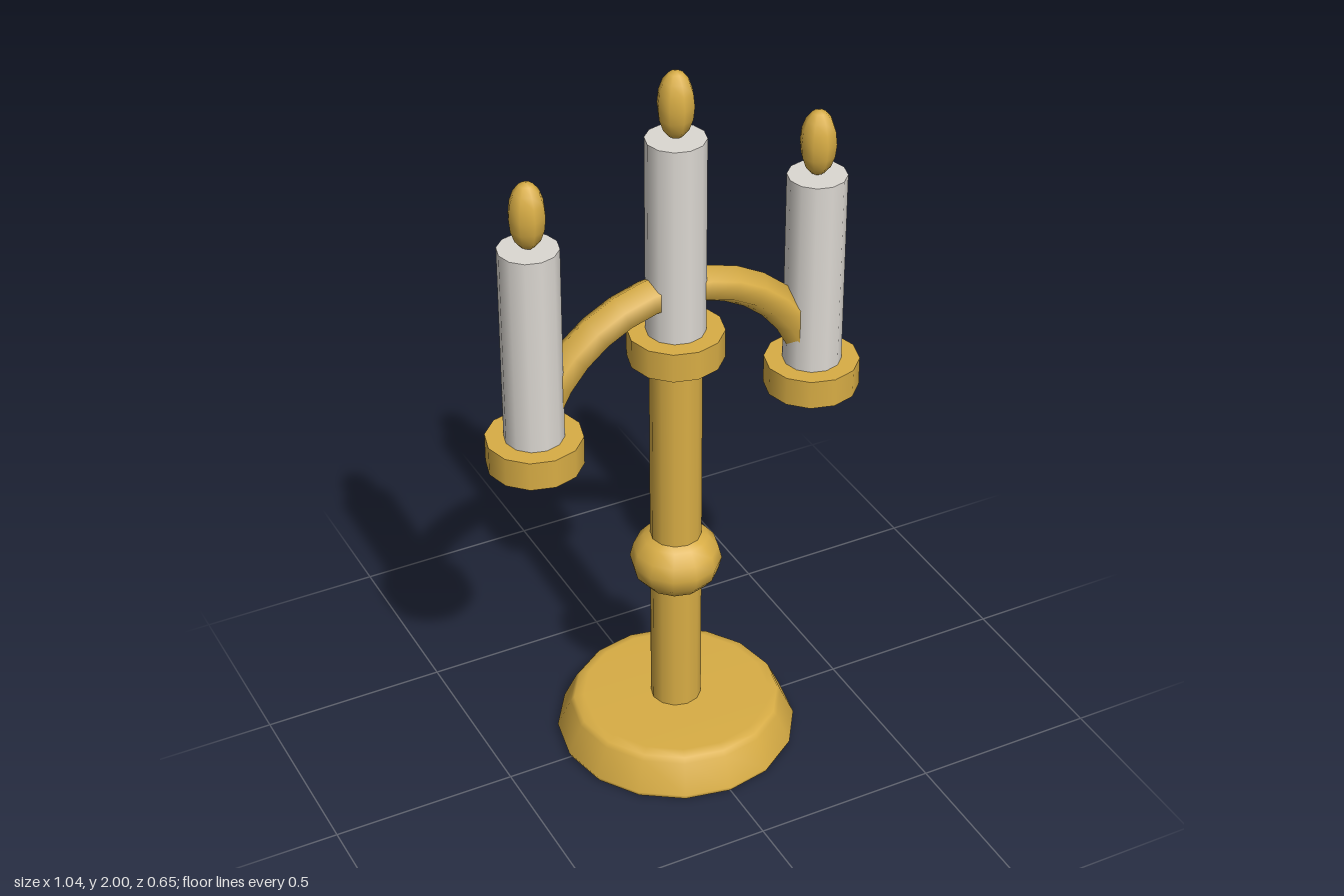
import * as THREE from 'three';

export function createModel() {
  const model = new THREE.Group();
  model.name = 'candelabra';

  const gold = new THREE.MeshStandardMaterial({ color: 0xd8ad45 });
  gold.name = 'gold';
  const wax = new THREE.MeshStandardMaterial({ color: 0xdcd8d2 });
  wax.name = 'wax';

  const add = (name, geometry, material, x = 0, y = 0) => {
    const mesh = new THREE.Mesh(geometry, material);
    mesh.name = name;
    mesh.position.set(x, y, 0);
    model.add(mesh);
    return mesh;
  };

  // Upright cylinder given by its bottom and top heights
  const post = (name, radius, y0, y1, material, x = 0) =>
    add(name, new THREE.CylinderGeometry(radius, radius, y1 - y0, 12), material, x, (y0 + y1) / 2);

  // Rounded foot with a flat underside
  const footProfile = [[0.318, 0], [0.325, 0.015], [0.288, 0.095], [0.278, 0.108], [0.252, 0.115], [0, 0.115]]
    .map(([r, y]) => new THREE.Vector2(r, y));
  add('foot', new THREE.LatheGeometry(footProfile, 16), gold);
  add('footUnderside', new THREE.CircleGeometry(0.318, 16).rotateX(Math.PI / 2), gold);

  // Stem and its knob
  post('stem', 0.068, 0.1, 1.21, gold);
  add('knob', new THREE.SphereGeometry(0.122, 12, 8).scale(1, 0.8, 1), gold, 0, 0.57);

  // Arched arm joining the two outer cups
  add('arm', new THREE.TorusGeometry(0.4, 0.05, 6, 16, Math.PI), gold, 0, 1);

  // Cup, candle and flame, three times
  const holder = (side, x, y) => {
    post(side + 'Cup', 0.125, y, y + 0.08, gold, x);
    post(side + 'Candle', 0.077, y + 0.07, y + 0.62, wax, x);
    add(side + 'Flame', new THREE.SphereGeometry(0.048, 8, 8).scale(1, 1.875, 1), gold, x, y + 0.71);
  };
  holder('center', 0, 1.2);
  holder('left', 0.397, 1);
  holder('right', -0.397, 1);

  return model;
}
